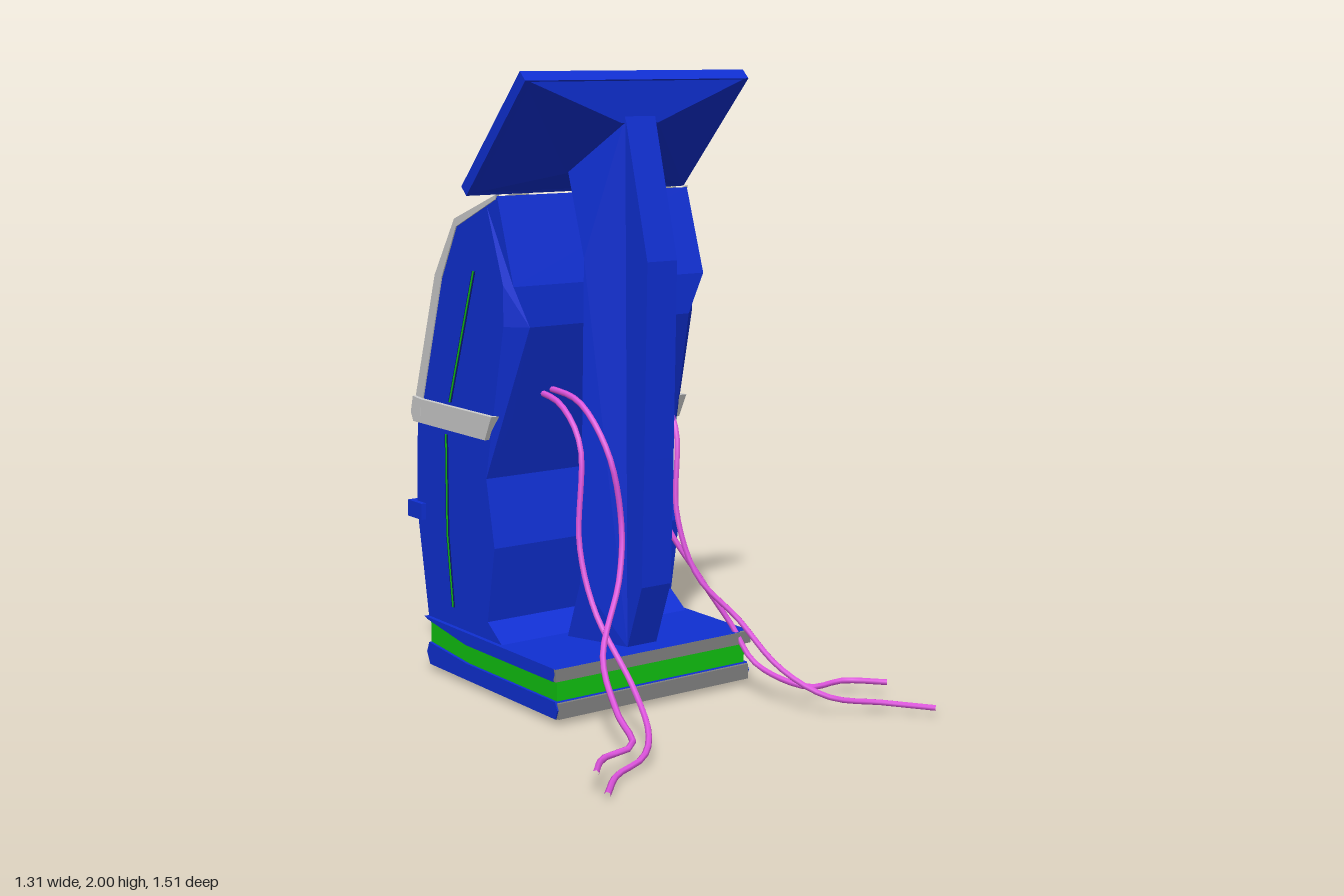
import * as THREE from 'three';

const mat = (color, extra = {}) => new THREE.MeshStandardMaterial({ color, flatShading: true, ...extra });
const blue = mat(0x0f2fd2), green = mat(0x10c010), grey = mat(0xcccccc), darkGrey = mat(0x808080);
const pink = mat(0xe055e0, { flatShading: false }), black = mat(0x151515), navy = mat(0x081a70);

export function createModel() {
  const model = new THREE.Group();

  const add = (name, geo, material, parent = model) => {
    const mesh = new THREE.Mesh(geo, material);
    mesh.name = name;
    parent.add(mesh);
    return mesh;
  };
  const box = (name, w, h, d, x, y, z, material, parent) => {
    const mesh = add(name, new THREE.BoxGeometry(w, h, d), material, parent);
    mesh.position.set(x, y, z);
    return mesh;
  };
  // Side outline in [z, y], extruded along x and centred on x = cx
  const slab = (outline, width, cx = 0) => {
    const shape = new THREE.Shape(outline.map(([z, y]) => new THREE.Vector2(z, y)));
    const geo = new THREE.ExtrudeGeometry(shape, { depth: width, bevelEnabled: false });
    return geo.translate(0, 0, -width / 2).rotateY(-Math.PI / 2).translate(cx, 0, 0);
  };
  // Moves every vertex by a rule
  const warp = (geo, rule) => {
    const p = geo.attributes.position, v = new THREE.Vector3();
    for (let i = 0; i < p.count; i++) {
      rule(v.fromBufferAttribute(p, i));
      p.setXYZ(i, v.x, v.y, v.z);
    }
    geo.computeVertexNormals();
    return geo;
  };
  // Group lying on a sloped face: local y is outward, local z is up the slope
  const sloped = (name, y, z, angle) => {
    const g = new THREE.Group();
    g.name = name;
    g.position.set(0, y, z);
    g.rotation.x = angle;
    model.add(g);
    return g;
  };

  // Base: two blue layers around a green one
  add('baseBottom', slab([[0.115, 0.02], [0.127, 0.05], [0.115, 0.075], [-0.4, 0.075], [-0.64, 0.095], [-0.655, 0.06], [-0.635, 0.02]], 0.76), blue);
  add('baseBand', slab([[0.112, 0.07], [0.112, 0.145], [-0.4, 0.145], [-0.642, 0.18], [-0.642, 0.09], [-0.4, 0.07]], 0.74), green);
  add('baseTop', slab([[0.112, 0.14], [0.127, 0.182], [-0.66, 0.182], [-0.642, 0.175], [-0.4, 0.14]], 0.77), blue);
  box('baseTopEdge', 0.77, 0.04, 0.012, 0, 0.162, 0.122, darkGrey);
  box('baseBottomEdge', 0.75, 0.05, 0.012, 0, 0.046, 0.122, darkGrey);
  box('baseUnderside', 0.74, 0.006, 0.51, 0, 0.019, -0.145, black);

  // Column, narrower towards +z
  const column = slab([[0.05, 0.18], [0.127, 0.39], [0.14, 0.8], [0.155, 1.42], [0.04, 1.86],
    [-0.16, 1.7], [-0.07, 1.42], [-0.095, 0.38], [-0.17, 0.18]], 2);
  add('column', warp(column, v => {
    const t = v.y > 1.6 ? (0.04 - v.z) / 0.2 : v.z > 0 ? 0 : 1;
    v.x *= 0.057 + 0.08 * t;
  }), blue);

  // Cabinet body
  const inner = [[-0.21, 1.605], [-0.445, 1.505], [-0.54, 1.33], [-0.668, 0.92]];
  const outer = [[-0.205, 1.62], [-0.455, 1.53], [-0.58, 1.34], [-0.715, 0.92]];
  const backLine = [[-0.205, 1.615], [-0.115, 1.34], [-0.115, 1.21], [-0.22, 0.9], [-0.285, 0.71], [-0.24, 0.49], [-0.285, 0.24], [-0.2, 0.18]];
  const insetLine = backLine.map(([z, y]) => [z - 0.06, Math.min(y, 1.58)]);
  add('cabinet', slab([...inner, [-0.71, 0.84], [-0.72, 0.535], [-0.655, 0.18], ...insetLine.slice().reverse()], 0.74), blue);
  // Cabinet rear skin, waisted in the middle
  add('cabinetRear', warp(slab([...backLine, ...insetLine.slice().reverse()], 0.74), v => {
    const onBack = backLine.some(([z, y]) => Math.abs(z - v.z) < 1e-4 && Math.abs(y - v.y) < 1e-4);
    if (onBack && v.y > 0.8 && v.y < 1.3) v.x *= 0.84;
  }), blue);

  // Grey strips and edge trims following the sloped face
  const band = [...outer, ...inner.slice().reverse()];
  for (const s of [-1, 1]) {
    add('strip', slab(band, 0.075, s * 0.288), grey);
    add('edgeTrim', slab(band, 0.012, s * 0.368), grey);
  }

  // Grey belt around three sides
  box('beltSide', 0.025, 0.075, 0.45, 0.375, 0.88, -0.48, grey);
  const belt = [[-0.66, 0.92], [-0.71, 0.925], [-0.725, 0.87], [-0.71, 0.84], [-0.66, 0.84]];
  add('beltFront', slab(belt, 0.775), grey);
  model.remove(model.getObjectByName('beltSide'));
  for (const s of [-1, 1]) {
    add('beltSide', slab([[-0.225, 0.92], [-0.7, 0.92], [-0.7, 0.84], [-0.265, 0.84]], 0.03, s * 0.372), grey);
  }

  // Lower face: rail with end blocks and four panels
  box('rail', 0.7, 0.02, 0.03, 0, 0.54, -0.72, blue);
  for (const s of [-1, 1]) {
    box('railBlock', 0.075, 0.055, 0.09, s * 0.35, 0.538, -0.71, blue);
    const upper = box('upperPanel', 0.13, 0.1, 0.012, s * 0.12, 0.68, -0.716, blue);
    upper.rotation.x = 0.03;
    const lower = box('lowerPanel', 0.15, 0.15, 0.012, s * 0.13, 0.36, -0.69, blue);
    lower.rotation.x = -0.18;
  }

  // Green slits in dark grooves on both sides
  const slitLine = (pts, w) => slab([...pts.map(([z, y]) => [z + w, y]), ...pts.slice().reverse().map(([z, y]) => [z - w, y])], 0.745);
  for (const pts of [[[-0.345, 1.37], [-0.5, 0.93]], [[-0.525, 0.82], [-0.525, 0.49], [-0.495, 0.245]]]) {
    add('sideGroove', slitLine(pts, 0.009), navy);
    const slit = add('sideSlit', slitLine(pts, 0.004), green);
    slit.scale.x = 1.003;
  }

  // Screen: bezel, glass and tapered housing
  const screen = sloped('screen', 1.82, -0.155, -0.814);
  const bezel = new THREE.Shape([[-0.425, -0.247], [0.425, -0.247], [0.425, 0.247], [-0.425, 0.247]].map(p => new THREE.Vector2(...p)));
  bezel.holes.push(new THREE.Path([[-0.365, -0.2], [-0.365, 0.2], [0.365, 0.2], [0.365, -0.2]].map(p => new THREE.Vector2(...p))));
  add('bezel', new THREE.ExtrudeGeometry(bezel, { depth: 0.04, bevelEnabled: false }).rotateX(Math.PI / 2), blue, screen);
  box('glass', 0.74, 0.01, 0.41, 0, -0.013, 0, black, screen);
  add('housing', warp(new THREE.BoxGeometry(0.85, 0.08, 0.494).toNonIndexed(), v => {
    if (v.y > 0) v.y = -0.035;
    else if (v.z > 0) v.set(Math.sign(v.x) * 0.07, -0.128, 0.148);
    else v.set(Math.sign(v.x) * 0.14, -0.093, -0.105);
  }), blue, screen);

  // Keyboard with four rows of keys
  const keyboard = sloped('keyboard', 1.445, -0.49, -0.814);
  box('keyboardPlate', 0.48, 0.05, 0.24, 0, 0, 0, blue, keyboard);
  for (const s of [-1, 1]) box('keyboardLight', 0.008, 0.01, 0.2, s * 0.228, 0.023, 0, green, keyboard);
  for (let row = 0; row < 4; row++) {
    const z = -0.07 + row * 0.04;
    for (let col = 0; col < 10; col++) {
      if (row === 0 && col > 1 && col < 8) continue;
      box('key', 0.028, 0.022, 0.025, (col - 4.5) * 0.042, 0.034, z, pink, keyboard);
    }
    if (row === 0) box('spaceBar', 0.225, 0.022, 0.025, 0, 0.034, z, pink, keyboard);
  }

  // Row of small lights above the keyboard
  const lights = sloped('lights', 1.568, -0.3, -0.384);
  for (let i = -4; i <= 4; i++) box('light', 0.025, 0.01, 0.008, i * 0.045, 0.001, 0, green, lights);

  // Hatch with green frame on the sloped face
  const hatch = sloped('hatch', 1.12, -0.606, -1.268);
  for (const s of [-1, 1]) box('hatchFrameSide', 0.018, 0.02, 0.32, s * 0.2, 0.003, 0, green, hatch);
  for (const s of [-1, 1]) box('hatchFrameEnd', 0.418, 0.02, 0.016, 0, 0.003, s * 0.158, green, hatch);
  add('hatchPanel', warp(new THREE.BoxGeometry(0.34, 0.05, 0.28).toNonIndexed(), v => {
    if (v.y > 0) v.set(v.x * 0.75, 0.03, v.z * 0.82);
  }), blue, hatch);

  // Trailing cables
  const cables = [
    [[-0.21, 0.99, -0.23], [-0.22, 0.96, -0.075], [-0.23, 0.85, 0.04], [-0.262, 0.55, 0.08], [-0.265, 0.36, 0.165], [-0.265, 0.16, 0.37], [-0.32, 0.07, 0.52], [-0.4, 0.035, 0.6], [-0.525, 0.02, 0.645], [-0.63, 0.012, 0.745]],
    [[-0.18, 1.0, -0.23], [-0.185, 0.97, -0.02], [-0.175, 0.82, 0.12], [-0.148, 0.6, 0.145], [-0.19, 0.45, 0.19], [-0.33, 0.25, 0.3], [-0.37, 0.12, 0.43], [-0.42, 0.07, 0.575], [-0.53, 0.058, 0.59], [-0.645, 0.068, 0.71]],
    [[0.165, 1.01, -0.23], [0.165, 0.96, -0.075], [0.15, 0.86, 0.03], [0.12, 0.6, 0.075], [0.155, 0.4, 0.14], [0.24, 0.27, 0.24], [0.28, 0.14, 0.4], [0.36, 0.065, 0.54], [0.525, 0.035, 0.62], [0.63, 0.03, 0.745]],
    [[0.225, 0.95, -0.23], [0.19, 0.84, -0.1], [0.165, 0.57, -0.06], [0.25, 0.36, 0.03], [0.33, 0.2, 0.1], [0.36, 0.09, 0.18], [0.42, 0.045, 0.375], [0.56, 0.045, 0.39], [0.65, 0.05, 0.5]],
  ];
  for (const pts of cables) {
    const curve = new THREE.CatmullRomCurve3(pts.map(p => new THREE.Vector3(...p)));
    add('cable', new THREE.TubeGeometry(curve, 40, 0.01, 6), pink);
  }
  return model;
}
